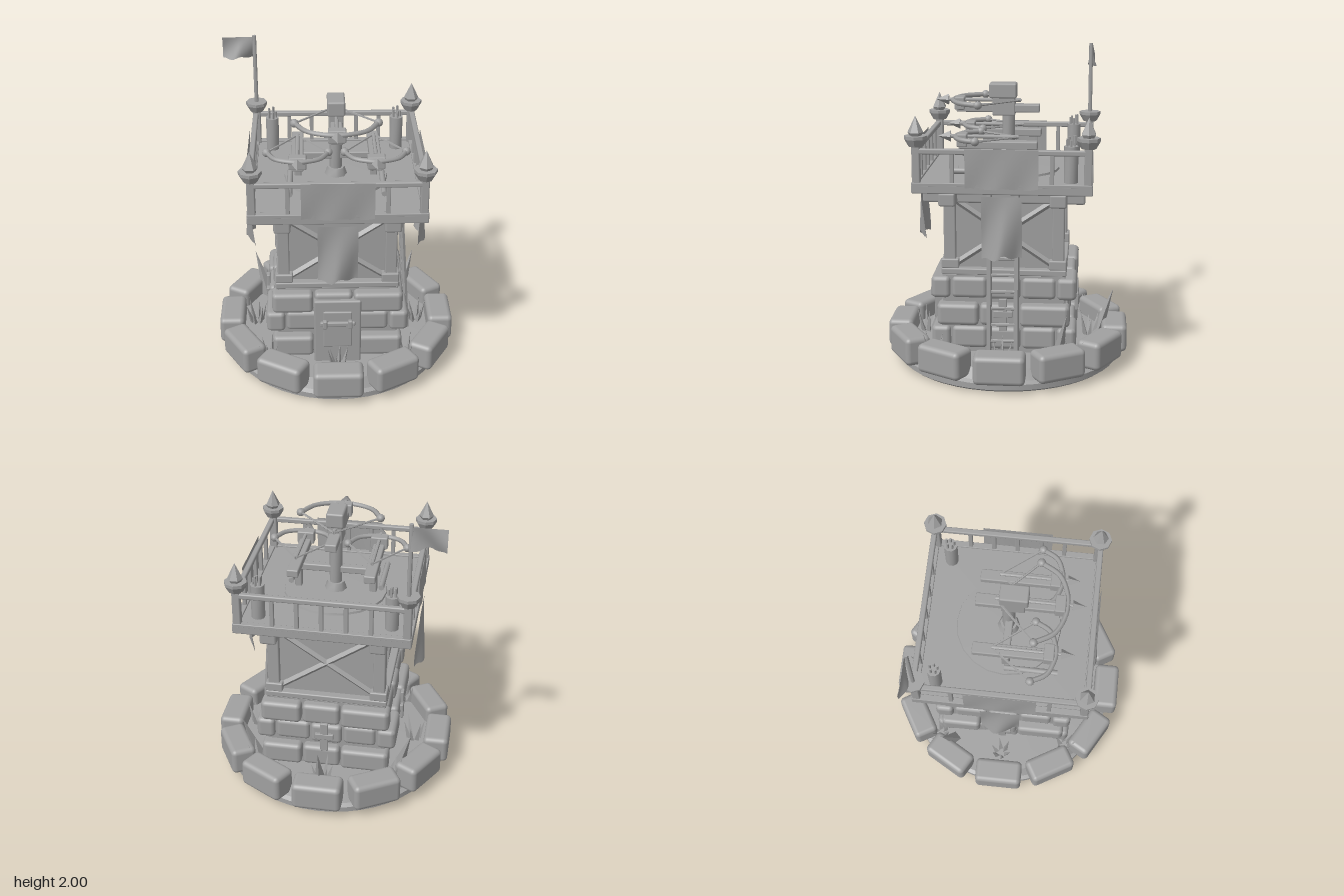
import * as THREE from 'three';
import { toCreasedNormals } from 'three/addons/utils/BufferGeometryUtils.js';
import { RoundedBoxGeometry } from 'three/addons/geometries/RoundedBoxGeometry.js';

const grey = new THREE.MeshStandardMaterial({ color: 0xa0a0a0, side: THREE.DoubleSide });
grey.name = 'plain grey';

const V = (x, y, z) => new THREE.Vector3(x, y, z);

function add(parent, name, geo, x = 0, y = 0, z = 0) {
  const m = new THREE.Mesh(geo, grey);
  m.name = name;
  m.position.set(x, y, z);
  parent.add(m);
  return m;
}
function group(parent, name, angle = 0) {
  const g = new THREE.Group();
  g.name = name;
  g.rotation.y = angle;
  parent.add(g);
  return g;
}
// Box given by its limits, with optional rounding
function block(parent, name, x0, x1, y0, y1, z0, z1, r = 0.008, seg = 1) {
  const geo = new RoundedBoxGeometry(x1 - x0, y1 - y0, z1 - z0, seg, r);
  return add(parent, name, geo, (x0 + x1) / 2, (y0 + y1) / 2, (z0 + z1) / 2);
}
// Rod between two points, tapering from r0 to r1
function rod(parent, name, a, b, r0, r1 = r0, sides = 8) {
  const d = b.clone().sub(a);
  const geo = toCreasedNormals(new THREE.CylinderGeometry(r1, r0, d.length(), sides), 0.9);
  const m = add(parent, name, geo);
  m.position.copy(a).add(b).multiplyScalar(0.5);
  m.quaternion.setFromUnitVectors(V(0, 1, 0), d.normalize());
  return m;
}
function lathe(parent, name, pts, sides, crease = 0.5) {
  const geo = new THREE.LatheGeometry(pts.map(p => new THREE.Vector2(p[0], p[1])), sides);
  return add(parent, name, toCreasedNormals(geo, crease));
}
// Hanging cloth: waves grow downward, lower edge is ragged
function cloth(parent, name, w, top, bottom, z, wave, ragged) {
  const geo = new THREE.PlaneGeometry(w, 1, 12, 8);
  const p = geo.attributes.position;
  for (let i = 0; i < p.count; i++) {
    const x = p.getX(i), t = 0.5 - p.getY(i);
    const edge = bottom + ragged * Math.sin(x * 45 + 1) * Math.cos(x * 17);
    p.setXYZ(i, x, top + (edge - top) * t, z + wave * t * Math.sin(x * 24 + t * 2));
  }
  geo.computeVertexNormals();
  return add(parent, name, geo);
}

function bow(parent, name, x, y, half, tipZ, apexZ) {
  const g = group(parent, name);
  g.position.set(x, y, 0);
  // stock, rail and bolt
  block(g, 'stock', -0.037, 0.037, -0.075, -0.025, -0.2, apexZ - 0.03);
  block(g, 'bowClamp', -0.055, 0.055, -0.06, 0.02, apexZ - 0.085, apexZ - 0.02);
  rod(g, 'boltShaft', V(0, 0, -0.08), V(0, 0, apexZ + 0.03), 0.012);
  rod(g, 'boltHead', V(0, 0, apexZ + 0.02), V(0, 0, apexZ + 0.1), 0.035, 0, 4);
  // curved limb, string and end knobs
  const limb = new THREE.CatmullRomCurve3([
    V(-half, 0, tipZ), V(-half * 0.72, 0, tipZ + (apexZ - tipZ) * 0.62), V(-half * 0.3, 0, apexZ - 0.02),
    V(0, 0, apexZ - 0.01), V(half * 0.3, 0, apexZ - 0.02), V(half * 0.72, 0, tipZ + (apexZ - tipZ) * 0.62), V(half, 0, tipZ)]);
  add(g, 'limb', new THREE.TubeGeometry(limb, 24, 0.016, 6));
  for (const s of [-1, 1]) {
    rod(g, 'string', V(s * half, 0, tipZ), V(0, 0, -0.08), 0.007, 0.007, 5);
    add(g, 'knob', new THREE.IcosahedronGeometry(0.027, 1), s * half, 0, tipZ);
  }
}

export function createModel() {
  const model = new THREE.Group();
  model.name = 'watchtower';

  // Round base with a ring of kerb stones
  lathe(model, 'groundDisc', [[0, 0], [0.7, 0], [0.72, 0.015], [0.72, 0.05], [0.695, 0.065], [0.66, 0.13], [0, 0.14]], 48);
  for (let i = 0; i < 12; i++) {
    const g = group(model, 'kerbStone', i * Math.PI / 6);
    const h = 0.003 * (i % 3);
    block(g, 'stone', -0.158, 0.158, 0.062 + h, 0.245 + h, 0.615, 0.78, 0.032, 3);
  }

  // Stone footing: three courses of bricks with overlapping corners
  block(model, 'footingCore', -0.385, 0.385, 0.1, 0.645, -0.385, 0.385);
  [[0.16, 0.305], [0.325, 0.465], [0.49, 0.63]].forEach(([y0, y1], row) => {
    for (let side = 0; side < 4; side++) {
      const g = group(model, 'brickCourse', side * Math.PI / 2);
      const long = (side + row) % 2 === 0;
      const end = long ? 0.415 : 0.455;
      const cuts = long ? [-end, -0.15, 0.1, end] : [-end, -0.33, -0.1, 0.11, 0.33, end];
      for (let i = 0; i < cuts.length - 1; i++) {
        const out = (long ? 0.455 : 0.415) - (i % 2) * 0.012;
        block(g, 'brick', cuts[i] + 0.004, cuts[i + 1] - 0.004, y0, y1, out - 0.12, out, 0.028, 2);
      }
    }
  });

  // Door with frame, panel and bar
  const door = group(model, 'door');
  block(door, 'doorFrame', -0.15, 0.15, 0.12, 0.59, 0.4, 0.47, 0.012);
  block(door, 'doorPanel', -0.092, 0.092, 0.25, 0.515, 0.45, 0.48);
  block(door, 'doorBar', -0.112, 0.112, 0.415, 0.445, 0.47, 0.495);
  for (const s of [-1, 1]) block(door, 'barHolder', s * 0.08 - 0.014, s * 0.08 + 0.014, 0.4, 0.46, 0.47, 0.505);

  // Timber storey: panels, corner posts, cross braces and beams on each side
  block(model, 'timberCore', -0.34, 0.34, 0.62, 1.2, -0.34, 0.34);
  for (let side = 0; side < 4; side++) {
    const g = group(model, 'timberWall', side * Math.PI / 2);
    block(g, 'sillBeam', -0.39, 0.39, 0.64, 0.68, 0.33, 0.39);
    block(g, 'cornerPost', 0.3, 0.375, 0.68, 1.12, 0.3, 0.375);
    block(g, 'postFoot', 0.28, 0.39, 0.68, 0.74, 0.28, 0.39);
    block(g, 'topBeam', -0.5, 0.5, 1.1, 1.185, 0.285, 0.39, 0.014);
    for (const s of [-1, 1]) rod(g, 'brace', V(-0.29 * s, 0.71, 0.343), V(0.29 * s, 1.1, 0.343), 0.02, 0.02, 4);
    // cross-shaped arrow slit on the walls without a door
    if (side) {
      block(g, 'slitUpright', -0.025, 0.025, 0.3, 0.51, 0.44, 0.462, 0.004);
      block(g, 'slitArm', -0.06, 0.06, 0.39, 0.43, 0.44, 0.464, 0.004);
    }
  }

  // Platform, railings and corner finials
  block(model, 'platform', -0.545, 0.545, 1.19, 1.245, -0.545, 0.545);
  for (let side = 0; side < 4; side++) {
    const g = group(model, 'railing', side * Math.PI / 2);
    block(g, 'topRail', -0.54, 0.54, 1.43, 1.463, 0.505, 0.54);
    block(g, 'bottomRail', -0.54, 0.54, 1.235, 1.257, 0.505, 0.545, 0.004);
    for (let i = -2; i <= 2; i++) block(g, 'baluster', i * 0.15 - 0.013, i * 0.15 + 0.013, 1.24, 1.44, 0.51, 0.535, 0.004);
    block(g, 'railPost', 0.49, 0.54, 1.24, 1.48, 0.49, 0.54);
    const cap = lathe(g, 'finialCap', [[0, 1.47], [0.045, 1.475], [0.07, 1.52], [0.07, 1.54], [0, 1.54]], 8, 0.2);
    cap.position.set(0.515, 0, 0.515);
    if (side !== 3 && side !== 2 || side === 3) {
      const tip = lathe(g, 'finialSpike', [[0.03, 1.53], [0.048, 1.56], [0, 1.66]], 6, 0.2);
      tip.position.set(0.515, 0, 0.515);
    }
    // hanging cloths on every side but the back
    if (side !== 2) {
      cloth(g, 'railCloth', 0.44, 1.466, 1.225, 0.55, 0.006, 0.008);
      cloth(g, 'longBanner', 0.245, 1.18, 0.8, 0.555, 0.032, 0.022);
    }
  }

  // Flag on the back right corner
  rod(model, 'flagPole', V(-0.515, 1.53, -0.515), V(-0.515, 2, -0.515), 0.013);
  const flag = cloth(model, 'flag', 0.205, 1.985, 1.845, 0, 0.03, 0.012);
  flag.position.set(-0.62, 0, -0.525);

  // Ladder leaning on the left wall
  const ladder = group(model, 'ladder');
  const lean = y => 0.48 - (y - 0.13) * 0.068;
  for (const s of [-1, 1]) rod(ladder, 'ladderRail', V(lean(0.13), 0.13, s * 0.085), V(lean(1.19), 1.19, s * 0.085), 0.017, 0.017, 6);
  for (let y = 0.24; y < 1.18; y += 0.105) rod(ladder, 'rung', V(lean(y), y, -0.085), V(lean(y), y, 0.085), 0.011, 0.011, 6);

  // Turntable with a mast carrying the three bows
  lathe(model, 'turntable', [[0, 1.24], [0.33, 1.24], [0.325, 1.258], [0, 1.262]], 20);
  rod(model, 'mastFoot', V(0, 1.25, 0), V(0, 1.31, 0), 0.075, 0.055);
  rod(model, 'mast', V(0, 1.25, 0), V(0, 1.62, 0), 0.04);
  block(model, 'crossBeam', -0.28, 0.28, 1.375, 1.42, -0.02, 0.03);
  block(model, 'mastHead', -0.055, 0.055, 1.7, 1.795, -0.055, 0.12, 0.012);
  block(model, 'mastNeck', -0.045, 0.045, 1.59, 1.71, -0.045, 0.1);
  bow(model, 'mainBow', 0, 1.685, 0.255, 0.17, 0.36);
  for (const s of [-1, 1]) {
    bow(model, 'sideBow', s * 0.24, 1.49, 0.19, 0.17, 0.32);
    block(model, 'sideBowLeg', s * 0.24 - 0.022, s * 0.24 + 0.022, 1.25, 1.43, -0.02, 0.03);
    rod(model, 'legBrace', V(s * 0.29, 1.28, 0), V(s * 0.29, 1.28, 0.33), 0.018);
    // quiver with arrows
    const q = group(model, 'quiver');
    q.position.set(s * 0.41, 0, -0.41);
    rod(q, 'quiverBody', V(0, 1.24, 0), V(0, 1.47, 0), 0.042, 0.044, 10);
    for (let i = 0; i < 5; i++) {
      const a = i * 1.257, x = 0.024 * Math.cos(a), z = 0.024 * Math.sin(a);
      rod(q, 'arrow', V(x, 1.4, z), V(x, 1.51 + 0.006 * i, z), 0.008, 0.008, 5);
    }
  }

  // Grass tufts and tall leaning blades inside the kerb
  for (let k = 0; k < 8; k++) {
    const a = 0.79 + k * 0.785, r = k % 2 ? 0.54 : 0.62;
    const tuft = group(model, 'grassTuft');
    tuft.position.set(r * Math.sin(a), 0.12, r * Math.cos(a));
    for (let i = 0; i < 6; i++) {
      const b = i * 1.05 + k, c = Math.cos(b), d = Math.sin(b);
      rod(tuft, 'blade', V(c * 0.03, 0, d * 0.03), V(c * 0.07, 0.13 + 0.02 * (i % 3), d * 0.07), 0.02, 0, 3);
    }
  }
  for (const [x, z] of [[-0.555, -0.4], [0.55, -0.4], [0, -0.69]])
    rod(model, 'tallBlade', V(x * 0.84, 0.12, z * 0.84), V(x, 0.45, z), 0.045, 0, 4);

  return model;
}
